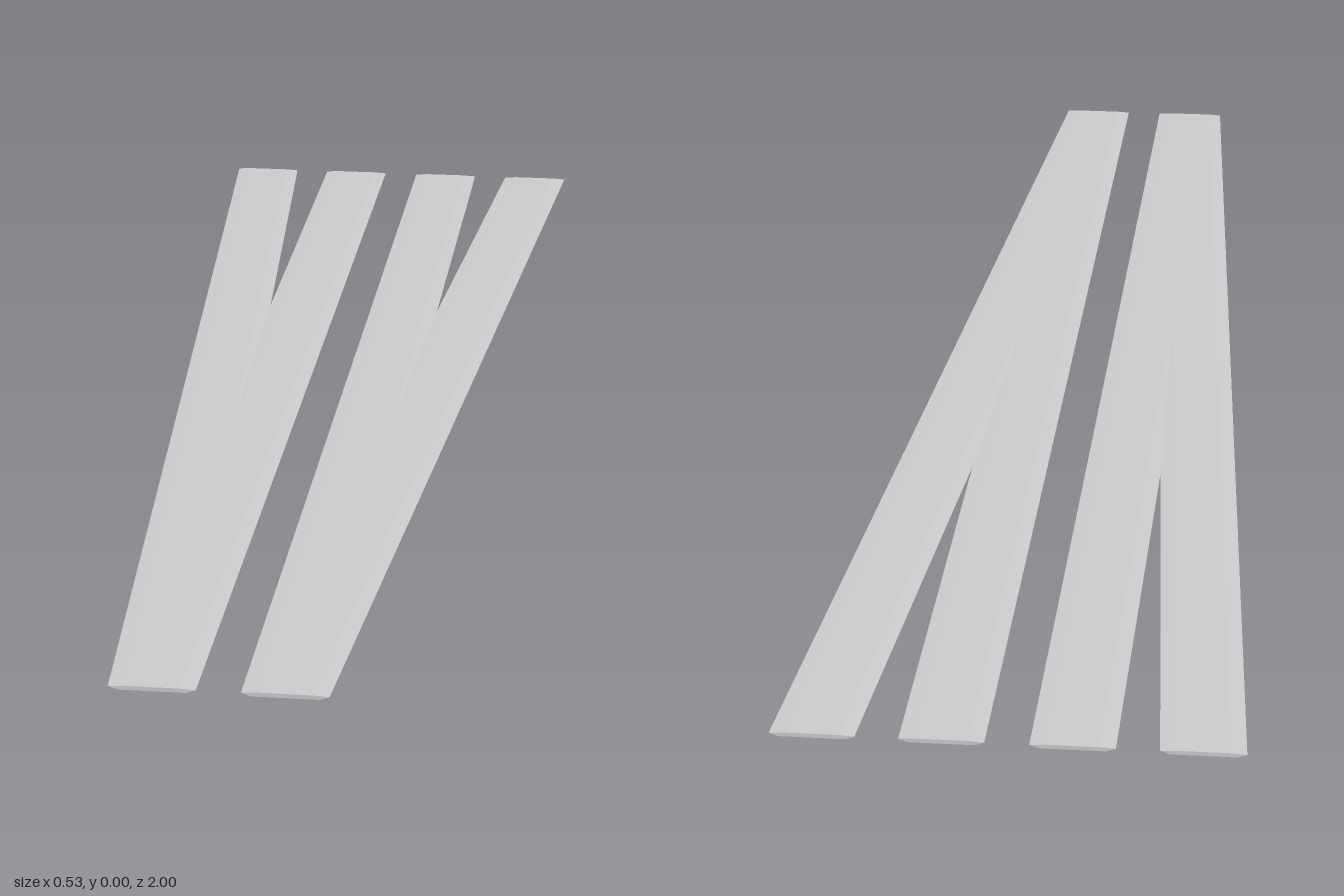
import * as THREE from 'three';

const material = new THREE.MeshStandardMaterial({ color: 0xcccccc, flatShading: true, side: THREE.DoubleSide });

// Thin track bed: flat crown, sloping shoulders and an undercut base.
function bedShape() {
  return new THREE.Shape([
    [-0.037, 0], [0.037, 0], [0.048, 0.0038], [0.03, 0.005], [-0.03, 0.005], [-0.048, 0.0038],
  ].map(([x, y]) => new THREE.Vector2(x, y)));
}

// Extrudes the bed along z and shears it so its centre runs from frontX to backX.
function trackBed(name, frontX, backX) {
  const geometry = new THREE.ExtrudeGeometry(bedShape(), { depth: 2, steps: 8, bevelEnabled: false });
  geometry.translate(0, 0, -1);
  const p = geometry.attributes.position;
  for (let i = 0; i < p.count; i++) {
    const t = (1 - p.getZ(i)) / 2;
    p.setX(i, p.getX(i) + frontX + (backX - frontX) * t);
  }
  geometry.computeVertexNormals();
  const mesh = new THREE.Mesh(geometry, material);
  mesh.name = name;
  return mesh;
}

export function createModel() {
  const group = new THREE.Group();
  group.name = 'trackJunction';
  // Each side has one straight bed and one branch diverging toward the back.
  for (const [side, s] of [['left', 1], ['right', -1]]) {
    group.add(trackBed(side + 'StraightBed', s * 0.073, s * 0.073));
    group.add(trackBed(side + 'BranchBed', s * 0.075, s * 0.218));
  }
  return group;
}
